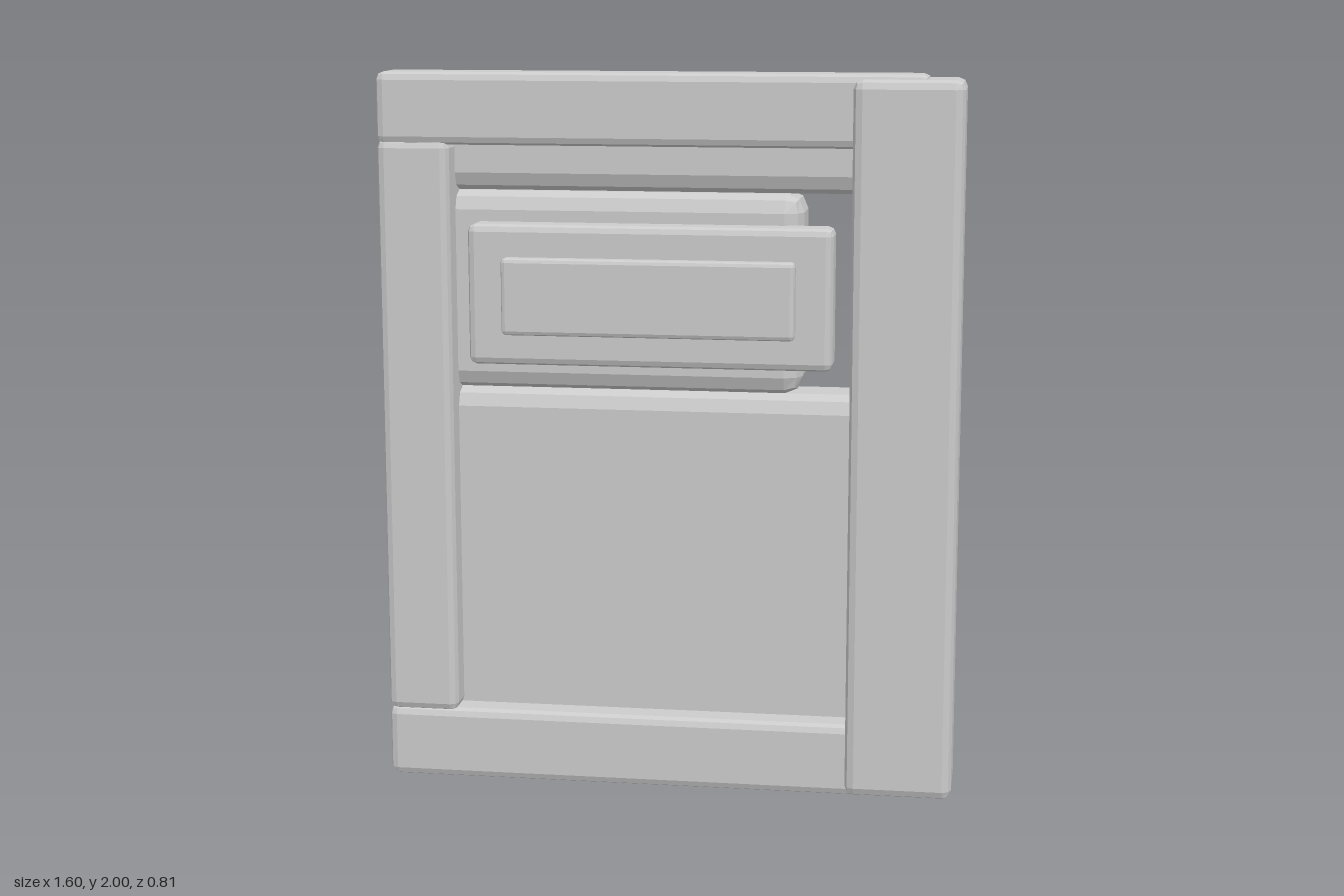
import * as THREE from 'three';
import { RoundedBoxGeometry } from 'three/addons/geometries/RoundedBoxGeometry.js';

export function createModel() {
  const group = new THREE.Group();
  const faceted = new THREE.MeshStandardMaterial({ color: 0xcccccc, flatShading: true });
  const smooth = new THREE.MeshStandardMaterial({ color: 0xcccccc });

  const add = (name, geometry, material, x, y, z) => {
    const mesh = new THREE.Mesh(geometry, material);
    mesh.name = name;
    mesh.position.set(x, y, z);
    group.add(mesh);
  };

  // Bevelled block given by its extents on each axis
  const block = (name, [x0, x1], [y0, y1], [z0, z1], bevel) =>
    add(name, new RoundedBoxGeometry(x1 - x0, y1 - y0, z1 - z0, 1, bevel), faceted,
      (x0 + x1) / 2, (y0 + y1) / 2, (z0 + z1) / 2);

  // Front frame: two rails, a thin post and a heavier post
  const frameZ = [0.21, 0.365];
  block('topRail', [-0.8, 0.705], [1.803, 2], frameZ, 0.022);
  block('bottomRail', [-0.8, 0.705], [0, 0.203], frameZ, 0.022);
  block('rightPost', [-0.8, -0.6], [0.195, 1.815], frameZ, 0.022);
  block('leftPost', [0.505, 0.8], [0.012, 1.988], [0.175, 0.402], 0.025);

  // Planks behind the frame, the middle one cut short
  const plankZ = [0.065, 0.28];
  block('bottomPlank', [-0.76, 0.663], [0.015, 1.117], plankZ, 0.05);
  block('middlePlank', [-0.76, 0.365], [1.117, 1.67], plankZ, 0.05);
  block('topPlank', [-0.76, 0.663], [1.672, 1.992], plankZ, 0.05);

  // Sign plate with a raised panel
  block('signPlate', [-0.55, 0.455], [1.2, 1.588], [0.25, 0.365], 0.02);
  block('signPanel', [-0.45, 0.355], [1.288, 1.5], [0.34, 0.402], 0.012);

  // Upright block and round peg on the back
  block('backBlock', [-0.31, -0.152], [0.43, 1.342], [-0.36, 0.14], 0.025);
  const peg = new THREE.CylinderGeometry(0.064, 0.064, 0.5, 12);
  peg.rotateX(Math.PI / 2);
  add('backPeg', peg, smooth, 0.205, 0.96, -0.155);

  return group;
}
